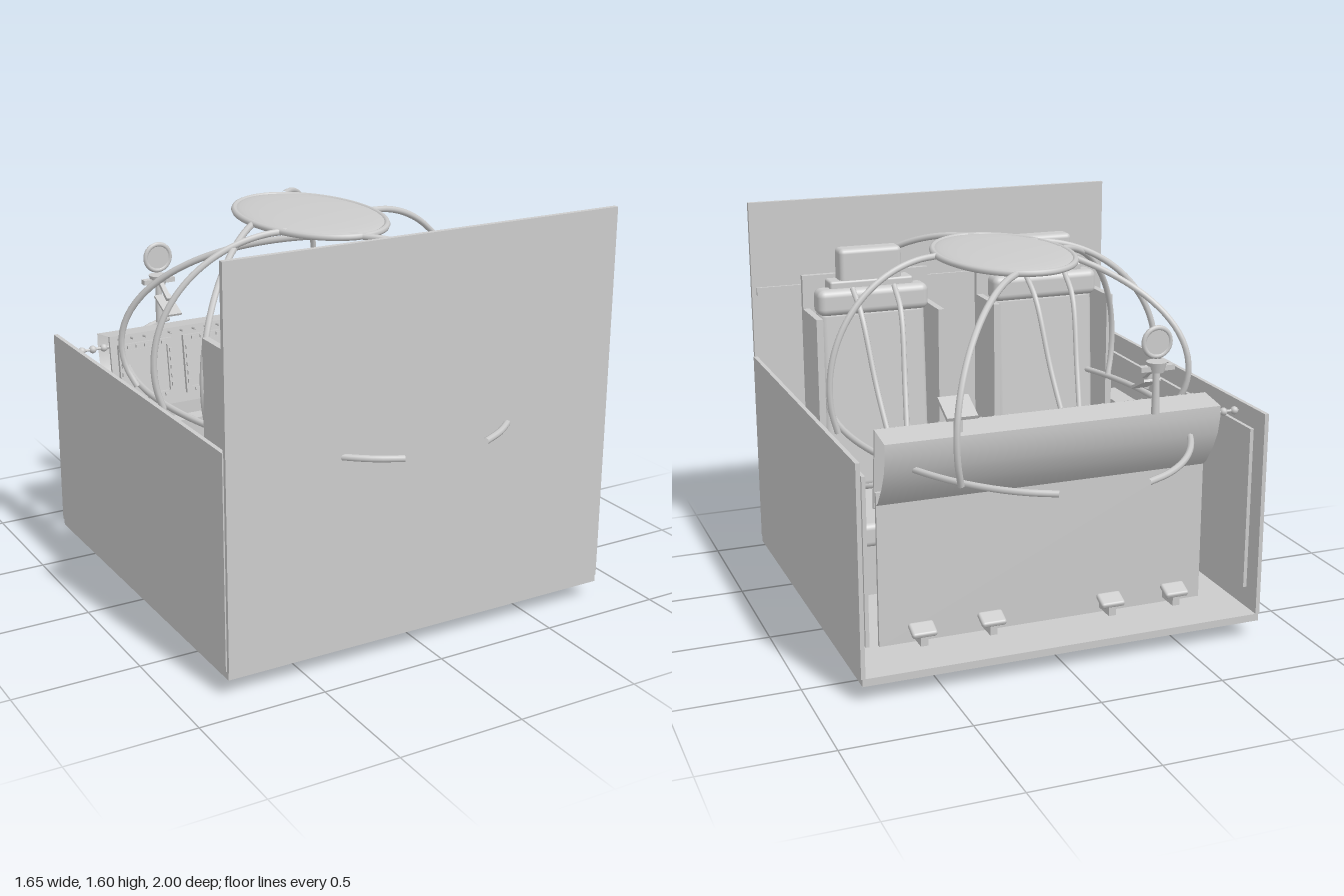
import * as THREE from 'three';
import { RoundedBoxGeometry } from 'three/addons/geometries/RoundedBoxGeometry.js';

const grey = new THREE.MeshStandardMaterial({ color: 0xcccccc });
const thin = new THREE.MeshStandardMaterial({ color: 0xcccccc, side: THREE.DoubleSide });
const V = (x, y, z) => new THREE.Vector3(x, y, z);

function add(parent, name, geo, x = 0, y = 0, z = 0, mat = grey) {
  const m = new THREE.Mesh(geo, mat);
  m.name = name;
  m.position.set(x, y, z);
  parent.add(m);
  return m;
}
// box given by its limits on each axis
function span(parent, name, x0, x1, y0, y1, z0, z1, r = 0) {
  const s = [x1 - x0, y1 - y0, z1 - z0];
  const geo = r ? new RoundedBoxGeometry(...s, 3, r) : new THREE.BoxGeometry(...s);
  return add(parent, name, geo, (x0 + x1) / 2, (y0 + y1) / 2, (z0 + z1) / 2);
}
const tube = (pts, r, n = 40, closed = false) =>
  new THREE.TubeGeometry(new THREE.CatmullRomCurve3(pts, closed), n, r, 8, closed);
function group(parent, name) {
  const g = new THREE.Group();
  g.name = name;
  parent.add(g);
  return g;
}

function buildTub(root) {
  const g = group(root, 'tub');
  span(g, 'floor', -0.82, 0.82, 0.07, 0.1, -0.7, 0.87);
  span(g, 'frontWall', -0.82, 0.82, 0.1, 1.6, 0.855, 0.875);
  span(g, 'frontWallRail', -0.8, 0.8, 1.2, 1.235, 0.843, 0.855);
  for (const s of [-1, 1]) {
    const wall = (name, a, b, ...r) => span(g, name, Math.min(s * a, s * b), Math.max(s * a, s * b), ...r);
    wall('sideWall', 0.808, 0.825, 0.1, 0.93, -0.7, 0.86);
    wall('sideLining', 0.775, 0.79, 0.2, 0.86, -0.65, 0.8);
    for (const z of [-0.5, 0, 0.5]) wall('liningMount', 0.785, 0.81, 0.3, 0.8, z - 0.02, z + 0.02);
    // side console with switches and keypad
    wall('sideConsole', 0.68, 0.79, 0.1, 0.7, -0.165, 0.58);
    wall('consoleDisplay', 0.71, 0.765, 0.7, 0.715, -0.09, -0.03);
    for (let i = 0; i < 4; i++) {
      add(g, 'consoleKnob', new THREE.CylinderGeometry(0.009, 0.009, 0.03, 10),
        s * (0.715 + 0.04 * (i % 2)), 0.715, 0.03 * (i >> 1) + 0.01);
    }
    for (let i = 0; i < 15; i++) {
      add(g, 'keypadKey', new THREE.BoxGeometry(0.013, 0.012, 0.013),
        s * (0.71 + 0.022 * (i % 3)), 0.705, 0.24 + 0.022 * Math.floor(i / 3));
    }
    // under-floor housings below seat and footrest
    wall('seatWell', 0.19, 0.58, 0, 0.07, 0.04, 0.47);
    wall('footrest', 0.185, 0.59, 0.03, 0.06, -0.41, -0.33);
    wall('footrestStem', 0.25, 0.53, 0.05, 0.075, -0.39, -0.35);
    // rudder pedals behind the bulkhead
    for (const x of [0.25, 0.53]) {
      wall('pedalArm', x - 0.015, x + 0.015, 0.12, 0.16, -0.55, -0.42);
      const p = add(g, 'pedal', new RoundedBoxGeometry(0.1, 0.025, 0.07, 2, 0.01), s * x, 0.18, -0.53);
      p.rotation.x = -0.4;
    }
  }
  // bottle in the corner
  add(g, 'bottle', new THREE.CylinderGeometry(0.05, 0.05, 0.4, 24), -0.74, 0.3, 0.75);
  add(g, 'bottleCap', new THREE.SphereGeometry(0.05, 20, 8, 0, Math.PI * 2, 0, Math.PI / 2), -0.74, 0.5, 0.75);
  add(g, 'bottleValve', new THREE.CylinderGeometry(0.02, 0.02, 0.05, 12), -0.74, 0.565, 0.75);
}

function buildSeat(root, cx) {
  const g = group(root, 'seat');
  g.position.x = cx;
  span(g, 'seatBase', -0.2, 0.2, 0.1, 0.34, 0.04, 0.47);
  span(g, 'cushion', -0.235, 0.235, 0.32, 0.42, 0, 0.55, 0.025);
  span(g, 'backPlate', -0.275, 0.275, 0.2, 1.325, 0.6, 0.625);
  const back = add(g, 'backCushion', new RoundedBoxGeometry(0.46, 0.78, 0.1, 3, 0.03), 0, 0.8, 0.53);
  back.rotation.x = 0.06;
  span(g, 'shoulderPad', -0.24, 0.24, 1.17, 1.28, 0.475, 0.58, 0.03);
  span(g, 'headrestMount', -0.18, 0.18, 1.22, 1.31, 0.51, 0.6, 0.01);
  span(g, 'headrest', -0.135, 0.135, 1.28, 1.44, 0.515, 0.605, 0.02);
  // harness meeting at a buckle
  add(g, 'buckle', new THREE.CylinderGeometry(0.035, 0.035, 0.03, 16), 0, 0.56, 0.12).rotation.x = -0.7;
  for (const s of [-1, 1]) {
    span(g, 'seatWing', s * 0.262 - 0.014, s * 0.262 + 0.014, 0.35, 1.185, 0.385, 0.6);
    const strap = (name, pts) => {
      const m = add(g, name, tube(pts.map(([x, y, z]) => V(s * x, y, z)), 0.012, 24));
      m.castShadow = true;
    };
    strap('shoulderStrap', [[0.02, 0.57, 0.12], [0.06, 0.9, 0.27], [0.085, 1.19, 0.385], [0.09, 1.28, 0.49]]);
    strap('lapStrap', [[0.02, 0.56, 0.13], [0.12, 0.52, 0.18], [0.2, 0.47, 0.37], [0.22, 0.44, 0.42]]);
  }
}

function buildStick(root, cx) {
  const g = group(root, 'controlStick');
  g.position.set(cx, 0, -0.065);
  const prof = [[0.08, 0.1], [0.08, 0.12], [0.06, 0.17], [0.035, 0.22], [0.015, 0.25], [0.014, 0.5]];
  add(g, 'stickBoot', new THREE.LatheGeometry(prof.map(p => new THREE.Vector2(...p)), 28), 0, 0, 0, thin);
  add(g, 'stickGrip', new THREE.CapsuleGeometry(0.026, 0.1, 6, 14), 0, 0.54, 0).rotation.x = 0.1;
  add(g, 'stickButton', new THREE.CylinderGeometry(0.01, 0.01, 0.03, 10), 0, 0.62, 0);
}

function buildPanel(root) {
  const g = group(root, 'instrumentPanel');
  span(g, 'bulkhead', -0.68, 0.68, 0.1, 0.72, -0.455, -0.44);
  span(g, 'lowerLedge', -0.53, 0.53, 0.55, 0.58, -0.44, -0.37);
  // hood: open shell swept along x
  const L = 1.36;
  const shell = (name, pts) => {
    const pos = [], idx = [];
    pts.forEach(([z, y], i) => {
      pos.push(-L / 2, y, z, L / 2, y, z);
      if (i) idx.push(2 * i - 2, 2 * i - 1, 2 * i, 2 * i - 1, 2 * i + 1, 2 * i);
    });
    const geo = new THREE.BufferGeometry();
    geo.setAttribute('position', new THREE.Float32BufferAttribute(pos, 3));
    geo.setIndex(idx);
    geo.computeVertexNormals();
    add(g, name, geo, 0, 0, 0, thin);
  };
  shell('hoodTop', [[-0.45, 0.965], [-0.58, 0.945]]);
  shell('hoodBack', [[-0.58, 0.945], [-0.58, 0.9], [-0.565, 0.83], [-0.53, 0.76], [-0.48, 0.69], [-0.43, 0.65]]);
  // tilted instrument face
  const f = group(g, 'panelFace');
  f.position.set(0, 0.805, -0.435);
  f.rotation.x = -0.13;
  add(f, 'facePlate', new THREE.BoxGeometry(L, 0.32, 0.012));
  for (const x of [-0.53, -0.24, 0.24, 0.53]) {
    for (const s of [-1, 1]) {
      add(f, 'bezelBar', new THREE.BoxGeometry(0.24, 0.025, 0.02), x, s * 0.11, 0.012);
      add(f, 'bezelPost', new THREE.BoxGeometry(0.025, 0.22, 0.02), x + s * 0.108, 0, 0.012);
      for (let i = -2; i <= 2; i++) {
        add(f, 'bezelKey', new THREE.BoxGeometry(0.016, 0.012, 0.012), x + i * 0.038, s * 0.11, 0.026);
        add(f, 'bezelKey', new THREE.BoxGeometry(0.012, 0.016, 0.012), x + s * 0.108, i * 0.036, 0.026);
      }
    }
    add(f, 'screen', new THREE.BoxGeometry(0.19, 0.19, 0.008), x, 0, 0.008);
  }
  for (const x of [-0.045, 0.045]) for (const y of [0.01, 0.1]) {
    add(f, 'gaugeRim', new THREE.TorusGeometry(0.036, 0.008, 8, 24), x, y, 0.012);
    add(f, 'gaugeDial', new THREE.CylinderGeometry(0.034, 0.034, 0.01, 24), x, y, 0.006).rotation.x = Math.PI / 2;
  }
  add(f, 'radioUnit', new THREE.BoxGeometry(0.17, 0.05, 0.025), 0, -0.08, 0.012);
  for (let i = 0; i < 24; i++) {
    add(f, 'switch', new THREE.CylinderGeometry(0.006, 0.006, 0.03, 6), -0.64 + i * 0.0557, 0.145, 0.02)
      .rotation.x = Math.PI / 2;
  }
  // small display on a bracket
  const d = add(g, 'topDisplay', new THREE.BoxGeometry(0.12, 0.015, 0.12), 0.385, 1.04, -0.535);
  d.rotation.x = -0.45;
  span(g, 'displayBracket', 0.37, 0.4, 0.94, 1.03, -0.55, -0.53);
  // sight on its post
  const c = group(g, 'sight');
  c.position.set(-0.39, 0, -0.595);
  add(c, 'sightPost', new THREE.CylinderGeometry(0.013, 0.016, 0.2, 14), 0, 1.05, 0);
  add(c, 'sightCollar', new THREE.CylinderGeometry(0.04, 0.03, 0.04, 16), 0, 1.135, 0);
  add(c, 'sightBar', new THREE.BoxGeometry(0.14, 0.02, 0.03), 0, 1.13, 0);
  add(c, 'sightRim', new THREE.TorusGeometry(0.055, 0.01, 8, 28), 0, 1.23, 0);
  add(c, 'sightDisc', new THREE.CylinderGeometry(0.055, 0.055, 0.012, 28), 0, 1.23, 0).rotation.x = Math.PI / 2;
  add(c, 'sightArm', new THREE.BoxGeometry(0.02, 0.015, 0.1), 0, 1.1, 0.06).rotation.x = 0.6;
  add(c, 'sightLens', new THREE.BoxGeometry(0.07, 0.01, 0.13), 0, 1.045, 0.09).rotation.x = 0.45;
  // row of knobs on a short rod
  add(g, 'knobRod', new THREE.CylinderGeometry(0.006, 0.006, 0.18, 8), -0.7, 0.9, -0.52).rotation.z = Math.PI / 2;
  for (let i = 0; i < 4; i++) {
    add(g, 'rodKnob', new THREE.SphereGeometry(0.016, 12, 8), -0.63 - i * 0.048, 0.9, -0.52);
  }
}

function buildCanopy(root) {
  const g = group(root, 'canopyFrame');
  const ring = [];
  for (let i = 0; i < 32; i++) {
    const a = i / 32 * Math.PI * 2;
    ring.push(V(0.26 * Math.cos(a), 1.485, 0.4 * Math.sin(a)));
  }
  add(g, 'roofRing', tube(ring, 0.013, 80, true));
  const dome = new THREE.SphereGeometry(1, 40, 8, 0, Math.PI * 2, 0, Math.PI / 2);
  dome.scale(0.26, 0.025, 0.4);
  add(g, 'roofDome', dome, 0, 1.487, 0, thin);
  // bows from the ring down to the sill: [start x, z, widest x, z]
  for (const [x0, z0, x1, z1] of [
    [0, 0.4, 0.45, 0.86], [0.1, -0.39, 0.49, -0.82], [0, 0.4, -0.72, -0.23],
    [-0.2, 0.19, -0.73, 0.1], [-0.21, -0.03, -0.66, 0.38], [0.26, 0.045, 0.73, -0.035],
  ]) {
    const pts = [];
    for (let i = 0; i <= 12; i++) {
      const t = i / 12 * 1.925, s = Math.sin(t);
      pts.push(V(x0 + (x1 - x0) * s, 1 + 0.485 * Math.cos(t), z0 + (z1 - z0) * s));
    }
    add(g, 'canopyBow', tube(pts, 0.013));
  }
  // curved sill rails
  for (const s of [-1, 1]) {
    const pts = [];
    for (let i = 0; i <= 16; i++) {
      const a = (i / 8 - 1) * 1.31;
      pts.push(V(s * 0.67 * Math.cos(a), 0.83, 1.025 * Math.sin(a)));
    }
    add(g, 'sillRail', tube(pts, 0.013, 60));
  }
}

export function createModel() {
  const root = new THREE.Group();
  root.name = 'cockpit';
  buildTub(root);
  for (const x of [-0.387, 0.387]) {
    buildSeat(root, x);
    buildStick(root, x);
  }
  buildPanel(root);
  buildCanopy(root);
  return root;
}
